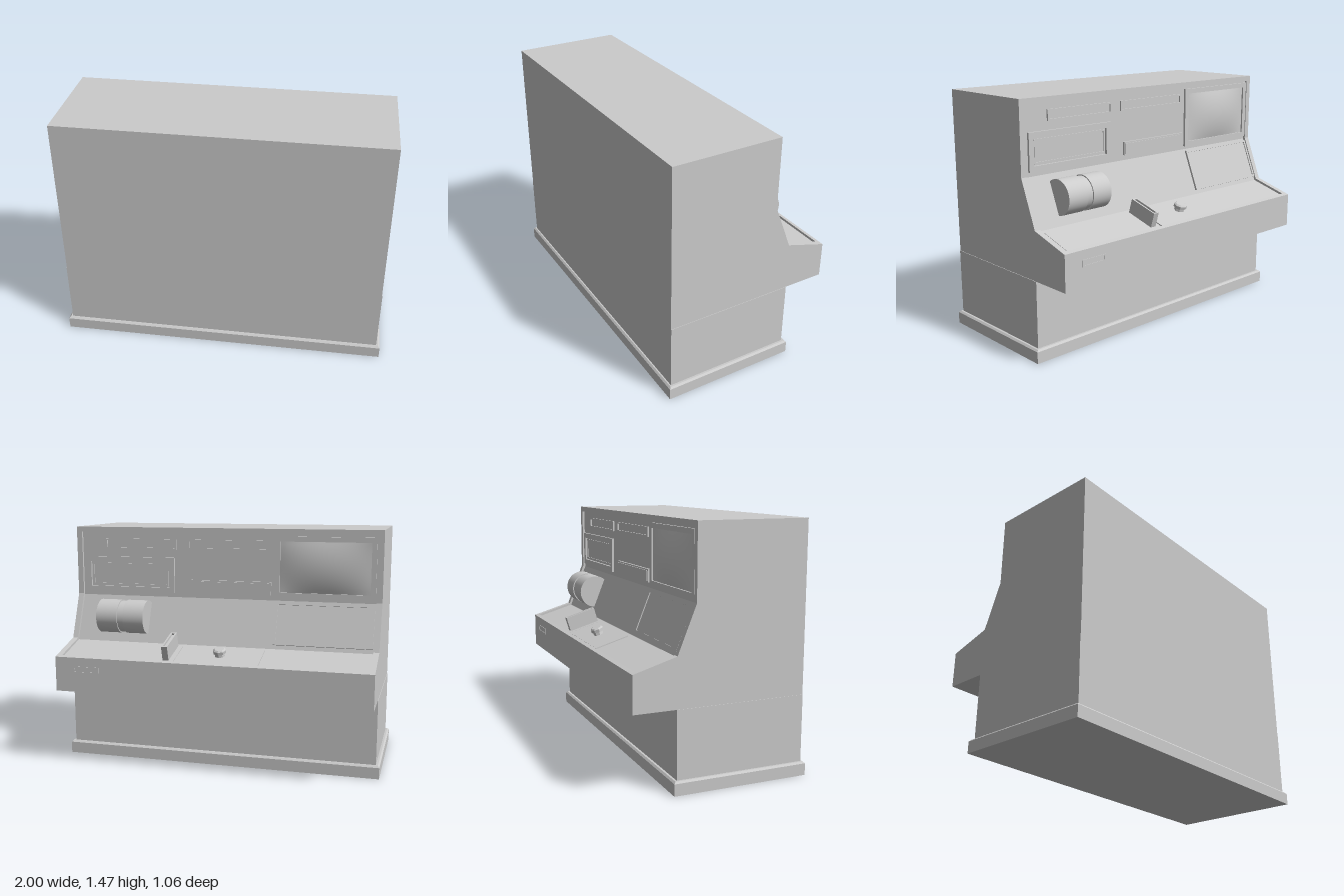
import * as THREE from 'three';

const material = new THREE.MeshStandardMaterial({ color: 0xcccccc });

function add(parent, name, geometry, x = 0, y = 0, z = 0) {
  const mesh = new THREE.Mesh(geometry, material);
  mesh.name = name;
  mesh.position.set(x, y, z);
  parent.add(mesh);
  return mesh;
}

// Box given by its limits on each axis
function block(parent, name, [x0, x1], [y0, y1], [z0, z1]) {
  const g = new THREE.BoxGeometry(x1 - x0, y1 - y0, z1 - z0);
  return add(parent, name, g, (x0 + x1) / 2, (y0 + y1) / 2, (z0 + z1) / 2);
}

// Side profile of [z, y] points swept from x0 to x1
function sweep(parent, name, profile, x0, x1) {
  const shape = new THREE.Shape(profile.map(([z, y]) => new THREE.Vector2(z, y)));
  const g = new THREE.ExtrudeGeometry(shape, { depth: x1 - x0, bevelEnabled: false });
  g.rotateY(-Math.PI / 2);
  return add(parent, name, g, x1);
}

// Group lying on a control surface: x runs to -x, y up the surface, z outward
function surface(parent, name, [zLow, yLow], [zHigh, yHigh]) {
  const group = new THREE.Group();
  group.name = name;
  const X = new THREE.Vector3(-1, 0, 0);
  const Y = new THREE.Vector3(0, yHigh - yLow, zHigh - zLow).normalize();
  const Z = new THREE.Vector3().crossVectors(X, Y);
  group.quaternion.setFromRotationMatrix(new THREE.Matrix4().makeBasis(X, Y, Z));
  group.position.set(0, yLow, zLow);
  parent.add(group);
  return group;
}

// Rectangular frame with an open middle
function frame(parent, name, [x0, x1], [y0, y1], width, height, z = 0) {
  const rect = (path, inset) => path
    .moveTo(x0 + inset, y0 + inset).lineTo(x1 - inset, y0 + inset)
    .lineTo(x1 - inset, y1 - inset).lineTo(x0 + inset, y1 - inset).closePath();
  const shape = rect(new THREE.Shape(), 0);
  shape.holes.push(rect(new THREE.Path(), width));
  const g = new THREE.ExtrudeGeometry(shape, { depth: height, bevelEnabled: false });
  return add(parent, name, g, 0, 0, z);
}

export function createModel() {
  const model = new THREE.Group();
  model.name = 'console';

  // Plinth with a chamfered top edge
  block(model, 'plinth', [-1, 1], [0, 0.07], [-0.295, 0.528]);
  const chamfer = block(model, 'plinthChamfer', [-1, 1], [0.07, 0.08], [-0.295, 0.528]);
  const p = chamfer.geometry.attributes.position;
  for (let i = 0; i < p.count; i++) {
    if (p.getY(i) > 0) p.setXYZ(i, p.getX(i) * 0.99, p.getY(i), p.getZ(i) * 0.975);
  }
  chamfer.geometry.computeVertexNormals();
  block(model, 'lowerCabinet', [-0.978, 0.978], [0.075, 0.475], [-0.272, 0.51]);

  // Upper cabinet: recessed middle between two raised cheeks
  const coreProfile = [
    [0.51, 0.475], [0.51, 1.47], [-0.16, 1.47], [-0.16, 1.437], [-0.145, 1.437],
    [-0.145, 1.034], [-0.259, 0.753], [-0.5, 0.682], [-0.5, 0.697], [-0.525, 0.69], [-0.525, 0.475],
  ];
  const cheekProfile = [
    [0.51, 0.475], [0.51, 1.47], [-0.16, 1.47], [-0.16, 1.04],
    [-0.27, 0.765], [-0.525, 0.69], [-0.525, 0.475],
  ];
  sweep(model, 'upperCabinet', coreProfile, -0.94, 0.94);
  sweep(model, 'leftCheek', cheekProfile, 0.94, 0.975);
  sweep(model, 'rightCheek', cheekProfile, -0.975, -0.94);

  // Upright panel; local y equals height above the floor
  const upright = surface(model, 'uprightPanel', [-0.145, 0], [-0.145, 1]);
  frame(upright, 'leftStripFrame', [-0.78, -0.307], [1.332, 1.397], 0.01, 0.01);
  frame(upright, 'middleStripFrame', [-0.233, 0.288], [1.336, 1.397], 0.01, 0.01);
  frame(upright, 'windowFrame', [-0.916, -0.32], [1.06, 1.282], 0.033, 0.014);
  frame(upright, 'windowInnerFrame', [-0.875, -0.361], [1.101, 1.241], 0.01, 0.006);
  block(upright, 'middleBar', [-0.21, 0.3], [1.066, 1.147], [0, 0.013]);
  block(upright, 'middleBarFace', [-0.2, 0.29], [1.074, 1.138], [0.013, 0.018]);

  // Bulging display
  frame(upright, 'displayFrame', [0.325, 0.935], [1.055, 1.425], 0.03, 0.014);
  const glass = new THREE.PlaneGeometry(0.55, 0.31, 24, 16);
  const g = glass.attributes.position;
  for (let i = 0; i < g.count; i++) {
    const u = g.getX(i) / 0.275, v = g.getY(i) / 0.155;
    g.setZ(i, 0.004 + 0.026 * (1 - u * u) * (1 - v * v));
  }
  glass.computeVertexNormals();
  add(upright, 'displayGlass', glass, 0.63, 1.24, 0);

  // Sloping panel with a framed plate
  const slope = surface(model, 'slopingPanel', [-0.259, 0.753], [-0.145, 1.034]);
  block(slope, 'slopePlate', [0.345, 0.925], [0.035, 0.28], [0, 0.007]);
  frame(slope, 'slopePlateFrame', [0.335, 0.935], [0.025, 0.29], 0.014, 0.013);

  // Drum with a narrow groove
  const drumParts = [['drumInner', 0.472, 0.605, 0.105], ['drumGroove', 0.605, 0.645, 0.098],
    ['drumOuter', 0.645, 0.782, 0.105]];
  for (const [name, x0, x1, r] of drumParts) {
    const cylinder = new THREE.CylinderGeometry(r, r, x1 - x0, 48).rotateZ(Math.PI / 2);
    add(model, name, cylinder, (x0 + x1) / 2, 0.912, -0.228);
  }

  // Desk plates
  const desk = surface(model, 'desk', [-0.5, 0.682], [-0.259, 0.753]);
  block(desk, 'leftDeskPlate', [-0.925, -0.225], [0.012, 0.225], [0, 0.004]);
  block(desk, 'middleDeskPlate', [-0.215, 0.295], [0.012, 0.225], [0, 0.006]);

  // Lever housing with a slot along its top
  block(desk, 'leverHousing', [-0.293, -0.255], [0.028, 0.223], [0, 0.082]);
  frame(desk, 'leverSlot', [-0.293, -0.255], [0.028, 0.223], 0.01, 0.013, 0.082);

  // Octagonal knob on a stem
  const cyl = (r0, r1, h) => new THREE.CylinderGeometry(r0, r1, h, 8).rotateX(Math.PI / 2).toNonIndexed();
  const knobParts = [['knobStem', 0.028, 0.032, 0.024, 0.016], ['knobCap', 0.04, 0.04, 0.018, 0.035],
    ['knobTop', 0.03, 0.04, 0.008, 0.048]];
  for (const [name, r0, r1, h, z] of knobParts) {
    const geometry = cyl(r0, r1, h);
    geometry.computeVertexNormals();
    add(desk, name, geometry, 0.04, 0.122, z);
  }

  // Pull slot on the apron
  const apron = surface(model, 'apron', [-0.525, 0], [-0.525, 1]);
  frame(apron, 'apronSlot', [-0.858, -0.69], [0.593, 0.635], 0.009, 0.003);

  return model;
}
